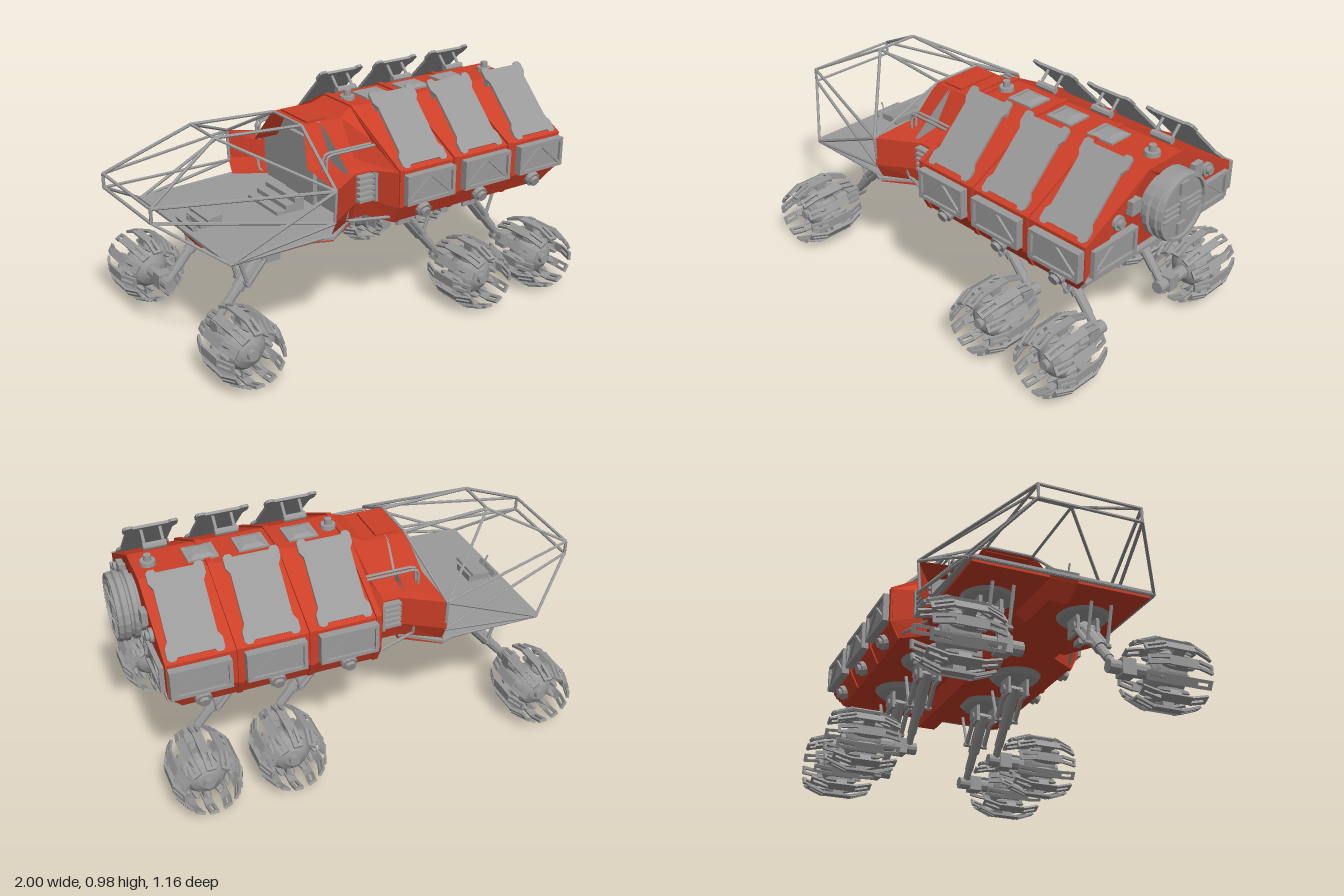
import * as THREE from 'three';

const GREY = new THREE.MeshStandardMaterial({ color: 0x9a9a9a, flatShading: true, side: THREE.DoubleSide });
const RED = new THREE.MeshStandardMaterial({ color: 0xcc3f28, flatShading: true, side: THREE.DoubleSide });
const V = (x, y, z) => new THREE.Vector3(x, y, z);

function add(parent, name, geo, mat, pos = [0, 0, 0], rot = [0, 0, 0]) {
  const m = new THREE.Mesh(geo, mat);
  m.name = name;
  m.position.set(...pos);
  m.rotation.set(...rot);
  parent.add(m);
  return m;
}
const box = (p, name, mat, size, pos, rot) => add(p, name, new THREE.BoxGeometry(...size), mat, pos, rot);
const group = (p, name, pos = [0, 0, 0], rot = [0, 0, 0]) => {
  const g = new THREE.Group();
  g.name = name;
  g.position.set(...pos);
  g.rotation.set(...rot);
  p.add(g);
  return g;
};

// Round bar between two points
function bar(p, name, a, b, r, sides = 6) {
  const A = V(...a), B = V(...b), d = B.clone().sub(A);
  const m = add(p, name, new THREE.CylinderGeometry(r, r, d.length(), sides), GREY, A.clone().add(B).multiplyScalar(0.5).toArray());
  m.quaternion.setFromUnitVectors(V(0, 1, 0), d.normalize());
}

// Cross-section mirrored in z; each half point is [z, y, x offset]
const ring = (x, half) => [
  ...half.map(([z, y, d = 0]) => [x + d, y, z]),
  ...half.slice().reverse().map(([z, y, d = 0]) => [x + d, y, -z]),
];
function loft(rings, capped = true) {
  const pos = [], tri = (...p) => p.forEach((q) => pos.push(...q));
  const n = rings[0].length, last = rings[rings.length - 1];
  for (let i = 0; i + 1 < rings.length; i++) for (let j = 0; j < n; j++) {
    const k = (j + 1) % n, [a, b, c, d] = [rings[i][j], rings[i][k], rings[i + 1][k], rings[i + 1][j]];
    tri(a, b, c);
    tri(a, c, d);
  }
  if (capped) for (let j = 1; j + 1 < n; j++) {
    tri(last[0], last[j], last[j + 1]);
    tri(rings[0][0], rings[0][j + 1], rings[0][j]);
  }
  const g = new THREE.BufferGeometry();
  g.setAttribute('position', new THREE.Float32BufferAttribute(pos, 3));
  g.computeVertexNormals();
  return g;
}
function plate(points, depth) {
  const g = new THREE.ExtrudeGeometry(new THREE.Shape(points.map(([x, y]) => new THREE.Vector2(x, y))), { depth, bevelEnabled: false });
  return g.translate(0, 0, -depth / 2);
}

// Storage box with a raised frame and truss, facing local +z
function trussBox(p, w, h, d, pos, rot) {
  const g = group(p, 'storageBox', pos, rot), t = 0.015;
  box(g, 'boxCore', GREY, [w, h, d - 0.012], [0, 0, -0.006]);
  for (const s of [1, -1]) {
    box(g, 'frameRail', GREY, [w, t, d], [0, s * (h - t) / 2, 0]);
    box(g, 'framePost', GREY, [t, h, d], [s * (w - t) / 2, 0, 0]);
    const dx = w / 2 - t, dy = h - 2 * t;
    box(g, 'trussBrace', GREY, [Math.hypot(dx, dy), 0.012, d - 0.004], [s * dx / 2, 0, 0], [0, 0, -s * Math.atan2(dy, dx)]);
  }
}

// Cage wheel with its axle along z
function wheel(p, pos) {
  const g = group(p, 'wheel', pos);
  const ball = add(g, 'hubCore', new THREE.SphereGeometry(0.098, 24, 8).rotateX(Math.PI / 2), GREY);
  ball.scale.z = 0.85;
  add(g, 'hubCap', new THREE.CylinderGeometry(0.022, 0.022, 0.2, 12).rotateX(Math.PI / 2), GREY);
  for (let i = 0; i < 12; i++) {
    const t = group(g, 'paddle', [0, 0, 0], [0, 0, (i * Math.PI) / 6]);
    add(t, 'hubSlat', new THREE.SphereGeometry(1, 6, 6).rotateX(Math.PI / 2).scale(0.018, 0.016, 0.075), GREY, [0, 0.097, 0]);
    box(t, 'paddleSpoke', GREY, [0.026, 0.045, 0.05], [0, 0.117, 0]);
    box(t, 'paddleTread', GREY, [0.038, 0.01, 0.13], [0, 0.14, 0]);
    for (const s of [1, -1]) {
      for (const x of [-0.0125, 0.0125]) box(t, 'paddleProng', GREY, [0.013, 0.011, 0.085], [x, 0.128, s * 0.103], [s * 0.35, 0, 0]);
      box(t, 'paddleTip', GREY, [0.038, 0.012, 0.012], [0, 0.115, s * 0.137], [s * 0.35, 0, 0]);
    }
  }
}

// Leg from a hull pivot at x0 to a wheel at x1
function leg(p, x0, x1, s) {
  const g = group(p, 'legAndWheel'), z = s * 0.215, dir = Math.sign(x1 - x0);
  const at = (t, dz = 0) => [x0 + (x1 - x0) * t, 0.43 - 0.28 * t, z + dz];
  add(g, 'swivelDisc', new THREE.CylinderGeometry(0.12, 0.1, 0.022, 20), GREY, [x0, 0.472, z]);
  for (const d of [-0.045, 0.045]) {
    box(g, 'pivotPlate', GREY, [0.085, 0.09, 0.014], [x0, 0.425, z + d]);
    bar(g, 'sideRod', [x0 + dir * 0.16, 0.465, z + d], at(0.45, d), 0.008);
    bar(g, 'linkRod', at(0.05, d), at(0.45, d), 0.012);
  }
  bar(g, 'pivotPin', at(0.05, -0.06), at(0.05, 0.06), 0.022, 10);
  bar(g, 'crossPin', at(0.45, -0.058), at(0.45, 0.058), 0.012);
  bar(g, 'upperLeg', at(0), at(0.55), 0.028, 10);
  bar(g, 'lowerLeg', at(0.5), at(0.8), 0.021, 10);
  bar(g, 'ankle', at(0.75), at(1), 0.017, 10);
  bar(g, 'axleHousing', [x1, 0.15, s * 0.18], [x1, 0.15, s * 0.25], 0.028, 12);
  box(g, 'axleBlock', GREY, [0.06, 0.07, 0.06], [x1, 0.15, s * 0.26]);
  bar(g, 'axle', [x1, 0.15, s * 0.28], [x1, 0.15, s * 0.4], 0.03, 10);
  wheel(g, [x1, 0.15, s * 0.433]);
}

export function createModel() {
  const root = new THREE.Group();
  root.name = 'rover';

  // Main hull, seam ribs and rear rim
  const section = (k) => [[0.1, 0.9 + k], [0.447 + k, 0.715 + k], [0.447 + k, 0.56], [0.41 + k, 0.483]];
  const tail = section(0).map(([z, y], i) => [z, y, i === 3 ? -0.06 : 0]);
  add(root, 'hull', loft([ring(0, section(0)), ring(0.82, section(0)), ring(0.895, tail)]), RED);
  for (const x of [0.015, 0.3, 0.6]) add(root, 'hullRib', loft([ring(x - 0.012, section(0.008)), ring(x + 0.012, section(0.008))]), RED);

  // Neck: steep cabin walls above a flat deck, flaring to hull and cockpit
  const waist = [[0.12, 0.87], [0.215, 0.72], [0.33, 0.7], [0.33, 0.57], [0.3, 0.49]];
  add(root, 'neck', loft([
    ring(-0.3, [[0.12, 0.87, 0.05], [0.215, 0.72, 0.01], [0.44, 0.7], [0.44, 0.57], [0.4, 0.49]]),
    ring(-0.13, waist), ring(-0.06, waist),
    ring(0, [[0.1, 0.9], [0.25, 0.8], [0.447, 0.715], [0.447, 0.56], [0.41, 0.483]]),
  ], false), RED);
  add(root, 'bulkhead', loft([ring(-0.17, waist), ring(-0.16, waist)]), GREY);
  box(root, 'neckRoofPanel', RED, [0.1, 0.012, 0.2], [-0.17, 0.873, 0]);
  box(root, 'entryDoor', GREY, [0.02, 0.3, 0.22], [-0.185, 0.64, 0]);
  for (let i = 0; i < 3; i++) box(root, 'entryStep', GREY, [0.045, 0.02 + i * 0.02, 0.24], [-0.36 + i * 0.045, 0.505 + i * 0.01, 0]);

  // Cockpit floor, belly plate and keels
  const plan = (k) => [[-0.77 + k, -0.4 + k], [-0.38, -0.4 + k], [-0.3, -0.43 + k], [-0.14, -0.31], [-0.14, 0.31], [-0.3, 0.43 - k], [-0.38, 0.4 - k], [-0.77 + k, 0.4 - k]];
  add(root, 'cockpitFloor', plate(plan(0), 0.012).rotateX(Math.PI / 2), GREY, [0, 0.494, 0]);
  add(root, 'bellyPlate', plate(plan(0.015), 0.012).rotateX(Math.PI / 2), RED, [0, 0.481, 0]);
  for (const [a, b] of [[-0.76, -0.42], [-0.09, 0.84]])
    add(root, 'keel', loft([ring(a, [[0.062, 0.483], [0.042, 0.405, 0.06]]), ring(b, [[0.062, 0.483], [0.042, 0.405, -0.07]])]), RED);

  // Driving console
  box(root, 'consoleBase', GREY, [0.1, 0.03, 0.12], [-0.66, 0.515, 0]);
  box(root, 'consoleTop', GREY, [0.07, 0.012, 0.16], [-0.65, 0.54, 0], [0, 0, 0.15]);
  box(root, 'footRest', GREY, [0.02, 0.03, 0.14], [-0.74, 0.51, 0], [0, 0, 0.4]);
  bar(root, 'controlLever', [-0.72, 0.49, 0.03], [-0.75, 0.56, 0.03], 0.004);

  // Open cockpit cage
  const cage = group(root, 'cockpitCage');
  const nodes = {
    n: [-0.995, 0.715, 0.22], m: [-0.995, 0.655, 0.22], t: [-0.65, 0.893, 0.1], r: [-0.25, 0.87, 0.11],
    s: [-0.3, 0.7, 0.44], q: [-0.3, 0.56, 0.43], f: [-0.76, 0.49, 0.4], b: [-0.3, 0.5, 0.41],
  };
  const node = (k, s) => [nodes[k][0], nodes[k][1], nodes[k][2] * s];
  for (const s of [1, -1]) for (const [a, b] of ['nm', 'nt', 'ns', 'tr', 'ts', 'mf', 'mq', 'fq', 'fs', 'fb', 'rs', 'sq'])
    bar(cage, 'cageStrut', node(a, s), node(b, s), 0.007);
  for (const k of 'nmtrf') bar(cage, 'cageCrossbar', node(k, 1), node(k, -1), 0.007);

  // Solar panel outline with stepped corners
  const quarter = [[0.075, 0.17], [0.083, 0.183], [0.105, 0.183], [0.115, 0.172], [0.115, 0.13], [0.1, 0.105]];
  const flip = (sx, sy) => quarter.map(([x, y]) => [x * sx, y * sy]);
  const outline = [...flip(1, 1), ...flip(1, -1).reverse(), ...flip(-1, -1), ...flip(-1, 1).reverse()];

  for (const s of [1, -1]) {
    const turn = s > 0 ? 0 : Math.PI;
    for (const x of [0.15, 0.457, 0.765]) {
      trussBox(root, 0.25, 0.13, 0.05, [x, 0.635, s * 0.457], [0, turn, 0]);
      add(root, 'solarPanel', plate(outline, 0.012), GREY, [x, 0.847, s * 0.305], [-s * Math.PI / 4, 0, 0]);
      bar(root, 'panelHinge', [x - 0.05, 0.893, s * 0.148], [x + 0.05, 0.893, s * 0.148], 0.016, 8);
      for (const d of [-0.04, 0.04]) bar(root, 'panelArm', [x + d, 0.89, s * 0.148], [x + d, 0.945, s * 0.2], 0.007);
      bar(root, 'chineLampRim', [x - 0.01, 0.527, s * 0.42], [x - 0.01, 0.515, s * 0.45], 0.034, 12);
      bar(root, 'chineLamp', [x - 0.01, 0.52, s * 0.435], [x - 0.01, 0.51, s * 0.465], 0.022, 12);
    }
    // Grille and pipes along the neck
    for (let i = 0; i < 5; i++) box(root, 'grilleSlat', GREY, [0.14, 0.014, 0.05], [-0.06, 0.585 + i * 0.025, s * 0.335]);
    box(root, 'grillePost', GREY, [0.05, 0.125, 0.06], [-0.03, 0.635, s * 0.335]);
    for (const z of [0.255, 0.28]) {
      const path = new THREE.CatmullRomCurve3([V(-0.24, 0.7, s * z), V(-0.24, 0.77, s * z), V(-0.22, 0.785, s * z), V(0.01, 0.785, s * z)], false, 'catmullrom', 0.1);
      add(root, 'upperPipe', new THREE.TubeGeometry(path, 16, 0.006, 6), GREY);
    }
    const low = new THREE.CatmullRomCurve3([V(-0.19, 0.57, s * 0.36), V(-0.19, 0.52, s * 0.35), V(-0.17, 0.505, s * 0.34), V(0.02, 0.505, s * 0.41)], false, 'catmullrom', 0.1);
    add(root, 'lowerPipe', new THREE.TubeGeometry(low, 16, 0.007, 6), GREY);
    box(root, 'towLug', GREY, [0.05, 0.03, 0.03], [-0.3, 0.465, s * 0.3]);
    // Rear face fittings
    trussBox(root, 0.25, 0.12, 0.03, [0.9, 0.63, s * 0.292], [0, Math.PI / 2, 0]);
    box(root, 'rearBox', GREY, [0.03, 0.06, 0.052], [0.905, 0.787, s * 0.192]);
    bar(root, 'rearLampRim', [0.88, 0.75, s * 0.275], [0.91, 0.75, s * 0.275], 0.03, 14);
    bar(root, 'rearLamp', [0.9, 0.75, s * 0.275], [0.925, 0.75, s * 0.275], 0.018, 14);
    for (const [a, b] of [[-0.5, -0.745], [0.18, 0.415], [0.55, 0.78]]) leg(root, a, b, s);
  }

  // Rear bumper strips following the sloped lower edge
  for (let i = 0; i < 4; i++) box(root, 'bumperStrip', GREY, [0.025, 0.014, 0.87 - i * 0.025], [0.885 - i * 0.017, 0.547 - i * 0.019, 0]);

  // Roof hatches and beacons
  for (const x of [0.185, 0.4, 0.615]) {
    box(root, 'roofTile', GREY, [0.13, 0.01, 0.115], [x, 0.903, 0]);
    add(root, 'roofTilePyramid', new THREE.CylinderGeometry(0.045, 0.08, 0.01, 4).rotateY(Math.PI / 4), GREY, [x, 0.912, 0]);
  }
  for (const x of [0.055, 0.83]) {
    add(root, 'beaconBase', new THREE.CylinderGeometry(0.032, 0.034, 0.02, 12), GREY, [x, 0.908, 0]);
    add(root, 'beacon', new THREE.CylinderGeometry(0.016, 0.016, 0.03, 10), GREY, [x, 0.928, 0]);
  }

  // Round docking hatch at the rear
  const hatch = group(root, 'dockingHatch', [0, 0.733, 0]);
  const profile = [[0.12, 0.88], [0.12, 0.905], [0.146, 0.91], [0.146, 0.93], [0.135, 0.935], [0.135, 0.945], [0.146, 0.95], [0.146, 0.97], [0.138, 0.975], [0.146, 0.98], [0.142, 0.997], [0.13, 0.998], [0.128, 0.985], [0, 0.985]];
  add(hatch, 'hatchRings', new THREE.LatheGeometry(profile.map(([r, y]) => new THREE.Vector2(r, y)), 22).rotateZ(-Math.PI / 2), GREY);
  for (const y of [-0.025, 0, 0.025]) box(hatch, 'hatchBar', GREY, [0.012, 0.009, 0.23], [0.99, y, 0]);
  box(hatch, 'hatchLatch', GREY, [0.018, 0.07, 0.04], [0.989, 0, 0]);
  for (const y of [-0.09, 0.09]) box(hatch, 'hatchGrip', GREY, [0.014, 0.05, 0.05], [0.99, y, 0]);
  return root;
}
